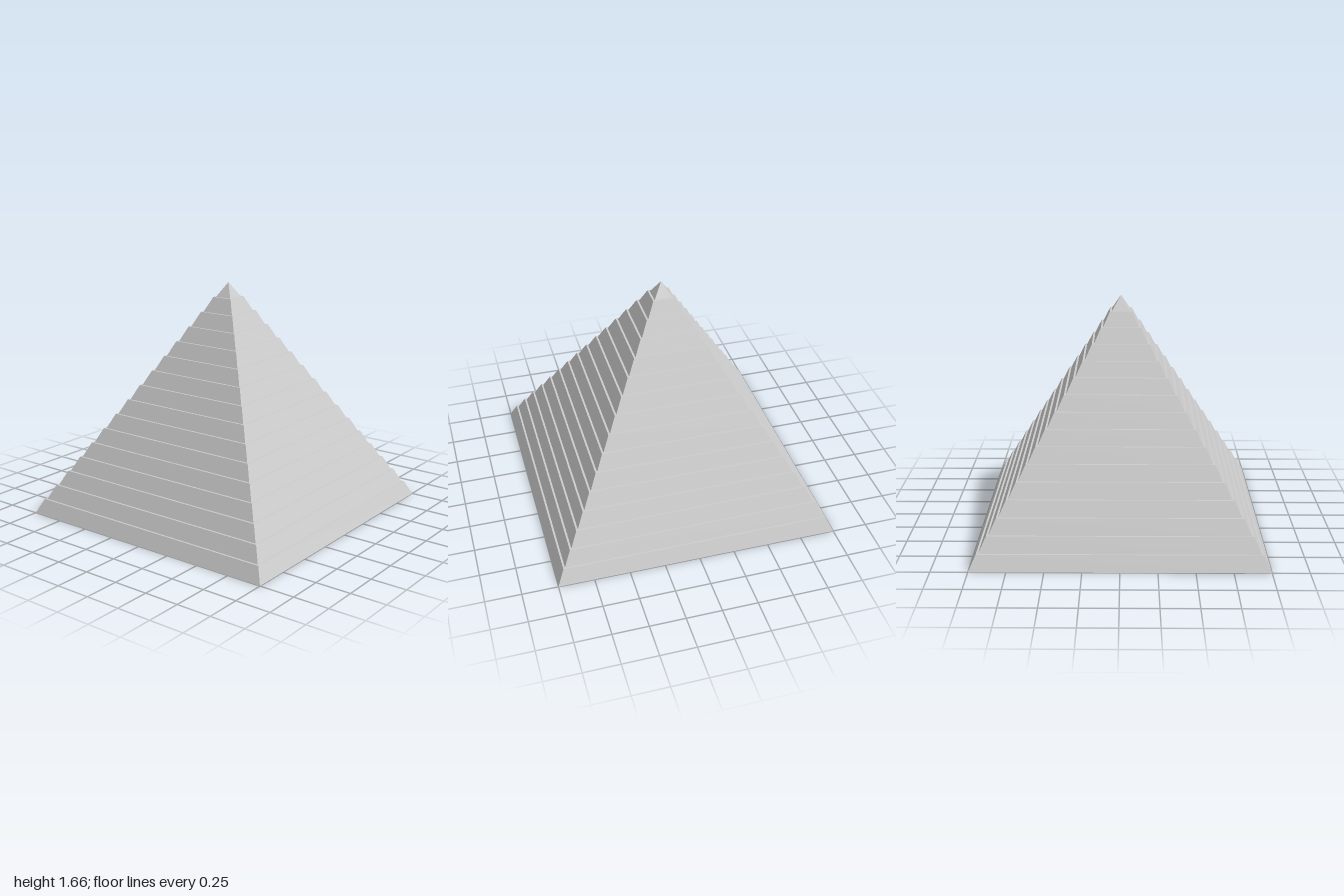
import * as THREE from 'three';

const TIERS = 16;
const HEIGHT = 1.66;
const LEDGE = 0.0135; // width of the step between two tiers

export function createModel() {
  const group = new THREE.Group();
  group.name = 'steppedPyramid';

  // Half-width profile from the base centre up to the apex
  const profile = [new THREE.Vector2(0, 0)];
  for (let i = 0; i < TIERS; i++) {
    const last = i === TIERS - 1;
    const nextHalf = 1 - (i + 1) / TIERS;
    profile.push(new THREE.Vector2(1 - i / TIERS, (i * HEIGHT) / TIERS));
    profile.push(new THREE.Vector2(last ? 0 : nextHalf + LEDGE, ((i + 1) * HEIGHT) / TIERS));
  }

  // Four-sided lathe; corner radius is half-width times the square root of 2
  const corners = profile.map((p) => new THREE.Vector2(p.x * Math.SQRT2, p.y));
  const geometry = new THREE.LatheGeometry(corners, 4).rotateY(Math.PI / 4).toNonIndexed();
  geometry.computeVertexNormals();

  const tiers = new THREE.Mesh(
    geometry,
    new THREE.MeshStandardMaterial({ color: 0xcccccc, flatShading: true })
  );
  tiers.name = 'tiers';
  group.add(tiers);
  return group;
}
